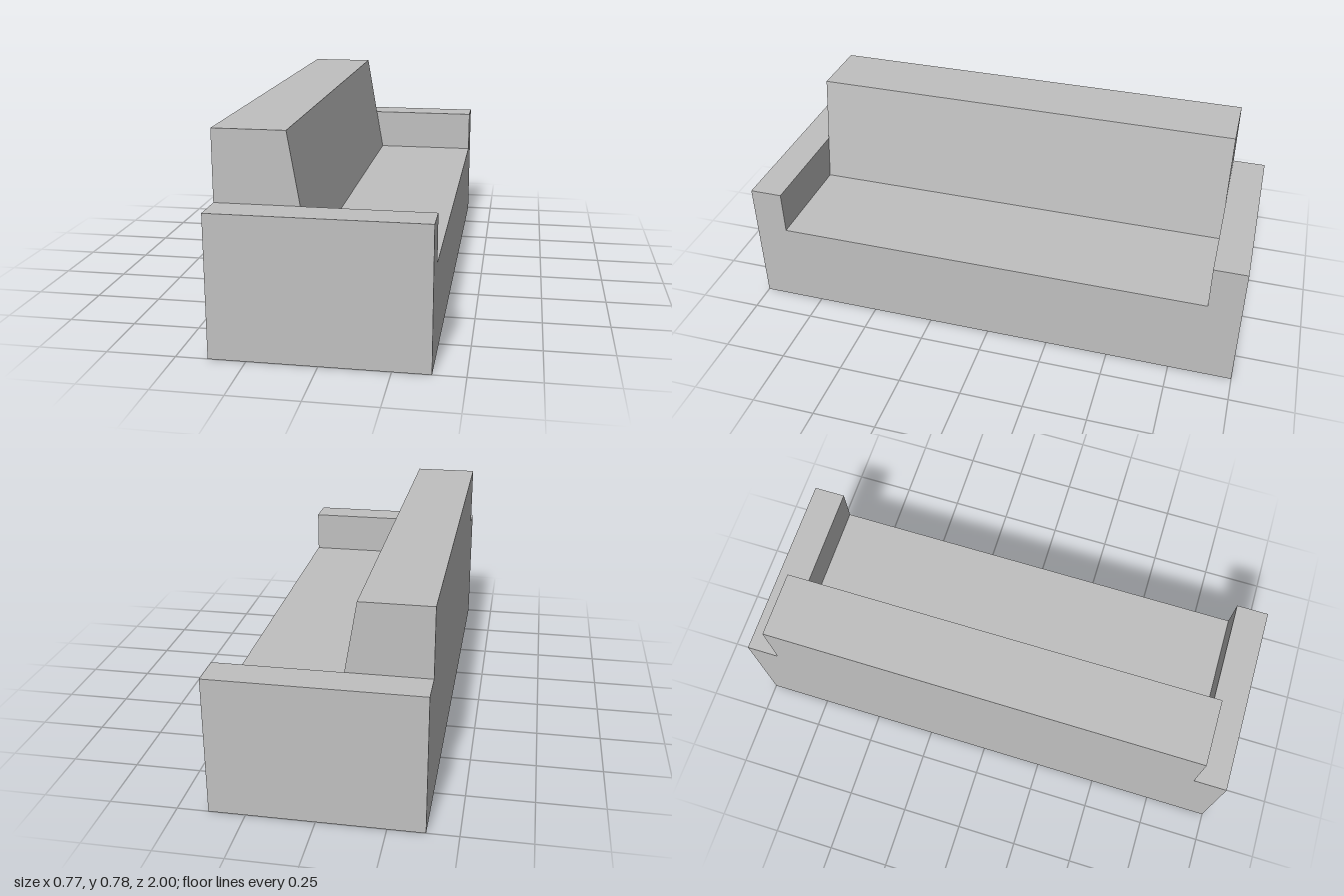
import * as THREE from 'three';

const HALF_DEPTH = 0.385, HALF_LENGTH = 1, INNER = 0.87;
const SEAT_Y = 0.345, ARM_Y = 0.52, BACK_Y = 0.78;

// Extrude a flat outline along z, centred on z = 0
function prism(points, length) {
  const shape = new THREE.Shape(points.map(([x, y]) => new THREE.Vector2(x, y)));
  const geometry = new THREE.ExtrudeGeometry(shape, { depth: length, bevelEnabled: false });
  return geometry.translate(0, 0, -length / 2);
}

export function createModel() {
  const group = new THREE.Group();
  group.name = 'sofa';
  const grey = new THREE.MeshStandardMaterial({ color: 0xc0c0c0 });
  grey.name = 'light grey';

  const add = (name, geometry) => {
    const mesh = new THREE.Mesh(geometry, grey);
    mesh.name = name;
    group.add(mesh);
  };

  // Seat block with an armrest rising at each end
  add('seatAndArmrests', prism([
    [-HALF_LENGTH, 0], [HALF_LENGTH, 0], [HALF_LENGTH, ARM_Y], [INNER, ARM_Y],
    [INNER, SEAT_Y], [-INNER, SEAT_Y], [-INNER, ARM_Y], [-HALF_LENGTH, ARM_Y],
  ], HALF_DEPTH * 2).rotateY(Math.PI / 2));

  // Backrest with a sloping face, between the armrests
  add('backrest', prism([
    [-HALF_DEPTH, SEAT_Y], [-0.051, SEAT_Y], [-0.125, BACK_Y], [-HALF_DEPTH, BACK_Y],
  ], INNER * 2));

  return group;
}
